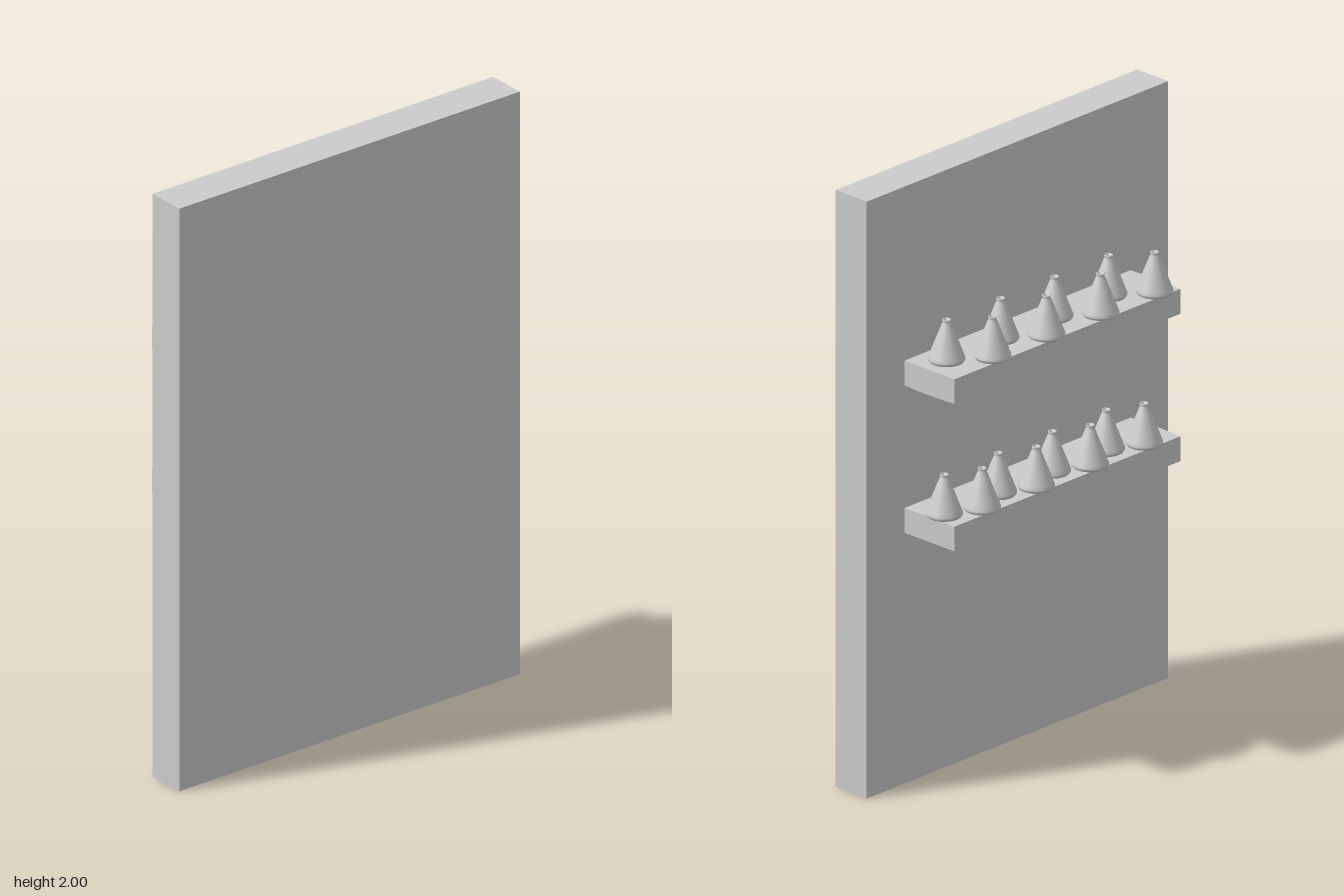
import * as THREE from 'three';

const grey = new THREE.MeshStandardMaterial({ color: 0xcccccc });
const greyOpen = new THREE.MeshStandardMaterial({ color: 0xcccccc, side: THREE.DoubleSide });

function addBox(parent, name, size, pos) {
  const mesh = new THREE.Mesh(new THREE.BoxGeometry(...size), grey);
  mesh.name = name;
  mesh.position.set(...pos);
  parent.add(mesh);
  return mesh;
}

// Plank with very slightly bowed ends and underside
function addShelf(parent, name, top, sag) {
  const [w, h, d] = [0.22, 0.083, 1.004];
  let geo = new THREE.BoxGeometry(w, h, d, 6, 1, 10);
  const p = geo.attributes.position;
  for (let i = 0; i < p.count; i++) {
    const u = p.getX(i) / (w / 2);
    const v = p.getZ(i) / (d / 2);
    const bow = 1 - u * u;
    if (v > 0.99) p.setZ(i, p.getZ(i) + 0.004 * bow);
    if (p.getY(i) < 0) p.setY(i, p.getY(i) - sag * bow);
  }
  geo = geo.toNonIndexed();
  geo.computeVertexNormals();
  const mesh = new THREE.Mesh(geo, grey);
  mesh.name = name;
  mesh.position.set(-0.162 + w / 2, top - h / 2, 0);
  parent.add(mesh);
}

// Conical flask: rounded foot, sloping side, narrow neck with a lip and a mouth
const flaskProfile = [
  [0, 0], [0.046, 0], [0.054, 0.003], [0.058, 0.009], [0.058, 0.014], [0.055, 0.022],
  [0.035, 0.075], [0.016, 0.125], [0.0125, 0.131], [0.0125, 0.136], [0.014, 0.138],
  [0.0135, 0.141], [0.009, 0.141], [0.008, 0.132], [0, 0.124],
].map(([r, y]) => new THREE.Vector2(r, y));
const flaskGeometry = new THREE.LatheGeometry(flaskProfile, 32);

// Two staggered rows of four flasks, spaced evenly along z
function addFlasks(parent, name, y, rows) {
  const group = new THREE.Group();
  group.name = name;
  for (const [x, z0] of rows) {
    for (let i = 0; i < 4; i++) {
      const flask = new THREE.Mesh(flaskGeometry, greyOpen);
      flask.name = 'flask';
      flask.position.set(x, y, z0 + i * 0.24);
      group.add(flask);
    }
  }
  parent.add(group);
}

export function createModel() {
  const model = new THREE.Group();
  model.name = 'wallShelves';

  addBox(model, 'wallPanel', [0.134, 2, 1.34], [0.12, 1, 0]);

  addShelf(model, 'upperShelf', 1.417, 0.003);
  addFlasks(model, 'upperFlasks', 1.417, [[-0.045, -0.416], [-0.13, -0.3]]);

  addShelf(model, 'lowerShelf', 0.923, 0);
  addFlasks(model, 'lowerFlasks', 0.923, [[-0.08, -0.463], [-0.129, -0.345]]);

  return model;
}
